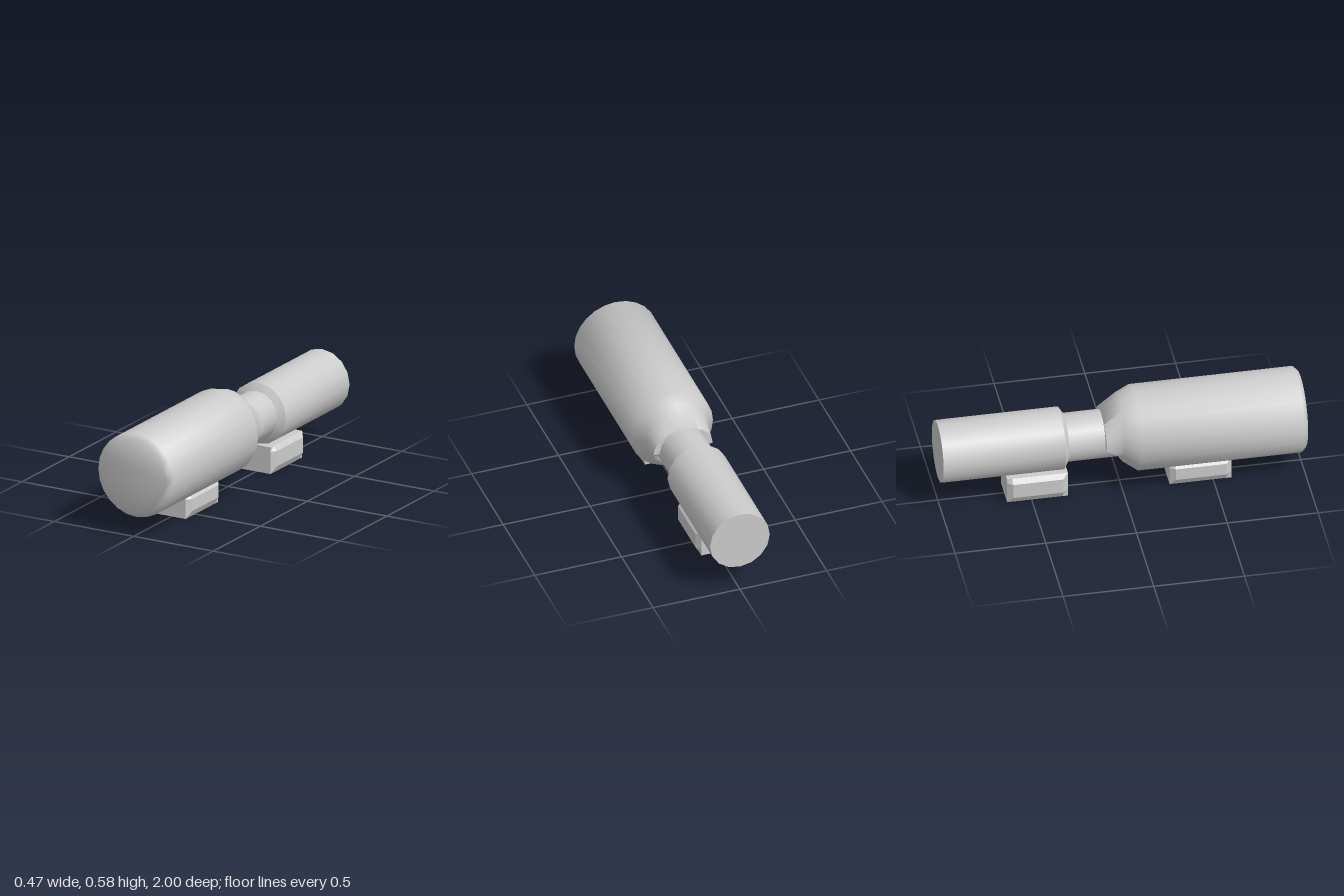
import * as THREE from 'three';
import { toCreasedNormals } from 'three/addons/utils/BufferGeometryUtils.js';

const material = new THREE.MeshStandardMaterial({ color: 0xcccccc });

// Skins closed rings of points (counter-clockwise from +z, ordered front to back) and caps both ends.
function loft(name, rings, crease) {
  const n = rings[0].length;
  const pos = rings.flat(2);
  const index = [];
  for (let i = 0; i < rings.length - 1; i++) {
    for (let j = 0; j < n; j++) {
      const a = i * n + j, b = i * n + (j + 1) % n;
      index.push(a, a + n, b + n, a, b + n, b);
    }
  }
  const last = (rings.length - 1) * n;
  for (let j = 1; j < n - 1; j++) {
    index.push(0, j, j + 1, last, last + j + 1, last + j);
  }
  const geometry = new THREE.BufferGeometry();
  geometry.setAttribute('position', new THREE.Float32BufferAttribute(pos, 3));
  geometry.setIndex(index);
  const mesh = new THREE.Mesh(toCreasedNormals(geometry, crease), material);
  mesh.name = name;
  return mesh;
}

// Elliptical ring; z may be a number or a function of the sine of the angle.
function ellipse(n, z, y, rx, ry) {
  return Array.from({ length: n }, (_, j) => {
    const t = (j / n) * Math.PI * 2, s = Math.sin(t);
    return [rx * Math.cos(t), y + ry * s, typeof z === 'function' ? z(s) : z];
  });
}

// Rear rim of the large body: a hood above, cut back underneath.
function hoodZ(s) {
  if (s > -0.05) return -0.1;
  if (s > -0.35) return THREE.MathUtils.mapLinear(s, -0.05, -0.35, -0.1, -0.03);
  if (s > -0.75) return THREE.MathUtils.mapLinear(s, -0.35, -0.75, -0.03, -0.005);
  return THREE.MathUtils.mapLinear(s, -0.75, -1, -0.005, -0.02);
}

// Block with plain rectangular ends and bulging sides.
function foot(name, front, back, height) {
  const section = (z, bulge) => {
    const w = 0.09, m = w + bulge;
    return [[w, 0, z], [m, 0.04, z], [m, height - 0.025, z], [w, height, z],
      [-w, height, z], [-m, height - 0.025, z], [-m, 0.04, z], [-w, 0, z]];
  };
  return loft(name, [section(front, 0), section(front - 0.03, 0.023),
    section(back + 0.03, 0.023), section(back, 0)], 0.4);
}

export function createModel() {
  const group = new THREE.Group();
  group.name = 'model';

  // Large front cylinder with bevelled face, rounded shoulder and hooded rear rim
  group.add(loft('frontBody', [
    ellipse(24, 1, 0.341, 0.213, 0.213),
    ellipse(24, 0.975, 0.341, 0.237, 0.237),
    ellipse(24, 0.08, 0.341, 0.237, 0.237),
    ellipse(24, 0, 0.3575, 0.178, 0.1975),
    ellipse(24, hoodZ, 0.325, 0.17, 0.135),
    ellipse(24, hoodZ, 0.325, 0.125, 0.125),
  ], 0.9));

  // Narrow neck widening into the rear cylinder
  group.add(loft('neckAndRearBody', [
    ellipse(16, 0.05, 0.325, 0.135, 0.135),
    ellipse(16, -0.3, 0.325, 0.135, 0.135),
    ellipse(16, -0.325, 0.325, 0.172, 0.174),
    ellipse(16, -1, 0.325, 0.172, 0.174),
  ], 0.9));

  // Mounting feet
  group.add(foot('frontFoot', 0.6, 0.26, 0.135));
  group.add(foot('rearFoot', -0.3, -0.635, 0.152));
  return group;
}
